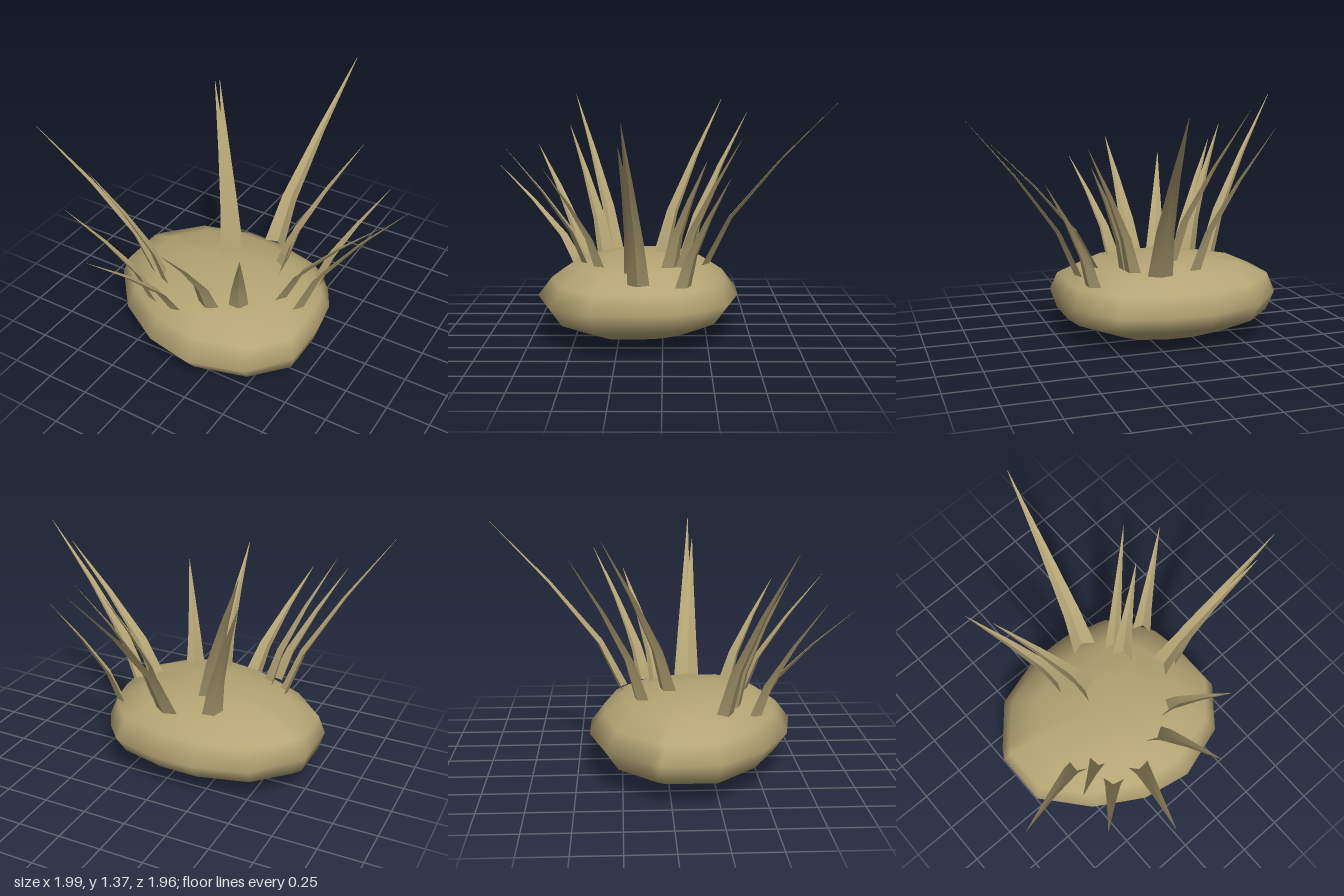
import * as THREE from 'three';

const straw = new THREE.MeshStandardMaterial({ color: 0xb5a575, side: THREE.DoubleSide });
straw.name = 'straw';

function makeGeometry(points, index) {
  const g = new THREE.BufferGeometry();
  g.setAttribute('position', new THREE.Float32BufferAttribute(points, 3));
  g.setIndex(index);
  g.computeVertexNormals();
  return g;
}

// Squashed pebble: the widest outline, scaled into stacked rings and capped by two poles
function moundGeometry() {
  const outline = [
    [-0.765, -0.06], [-0.73, -0.12], [-0.54, -0.34], [-0.24, -0.43], [0, -0.425],
    [0.27, -0.35], [0.38, -0.23], [0.46, -0.09], [0.49, 0.09], [0.49, 0.4],
    [0.31, 0.62], [0, 0.715], [-0.28, 0.66], [-0.55, 0.5], [-0.765, 0.25],
  ];
  const cx = -0.14, cz = 0.14, n = outline.length;
  // height, x scale, z scale
  const rings = [
    [0.045, 0.6, 0.57], [0.135, 0.95, 0.86], [0.24, 1, 1],
    [0.345, 0.94, 0.86], [0.42, 0.68, 0.66], [0.455, 0.33, 0.33],
  ];
  const points = [], index = [];
  for (const [y, sx, sz] of rings) {
    for (const [x, z] of outline) points.push(cx + (x - cx) * sx, y, cz + (z - cz) * sz);
  }
  points.push(-0.2, 0, 0.08, cx, 0.467, 0.1);
  const bottom = rings.length * n, top = bottom + 1, last = (rings.length - 1) * n;
  for (let i = 0; i < n; i++) {
    const j = (i + 1) % n;
    index.push(bottom, i, j, top, last + j, last + i);
    for (let r = 0; r < rings.length - 1; r++) {
      const a = r * n + i, b = r * n + j;
      index.push(a, a + n, b, b, a + n, b + n);
    }
  }
  return makeGeometry(points, index);
}

// Folded blade: two strips meeting at an outer keel, bending outward and tapering to a tip
function bladeGeometry(base, tip, width) {
  const out = new THREE.Vector3(tip[0] - base[0], 0, tip[2] - base[2]).normalize();
  const side = new THREE.Vector3(out.z, 0, -out.x);
  // horizontal fraction, height fraction, width fraction
  const sections = [[0, 0, 1], [0.18, 0.28, 0.72], [0.56, 0.64, 0.36], [1, 1, 0.02]];
  const points = [], index = [];
  for (const s of [-1, 1]) {
    const start = points.length / 3;
    sections.forEach(([h, v, w], k) => {
      const p = new THREE.Vector3(
        base[0] + (tip[0] - base[0]) * h,
        base[1] + (tip[1] - base[1]) * v,
        base[2] + (tip[2] - base[2]) * h,
      );
      const keel = p.clone().addScaledVector(out, 0.035 * w);
      const edge = p.clone().addScaledVector(side, s * width * 0.5 * w);
      points.push(...keel.toArray(), ...edge.toArray());
      if (k > 0) {
        const a = start + 2 * k - 2, b = a + 1, c = a + 2, d = a + 3;
        if (s > 0) index.push(a, b, c, b, d, c);
        else index.push(a, c, b, b, c, d);
      }
    });
  }
  return makeGeometry(points, index);
}

export function createModel() {
  const model = new THREE.Group();
  model.name = 'grassTuftOnStone';

  const mound = new THREE.Mesh(moundGeometry(), straw);
  mound.name = 'mound';
  model.add(mound);

  // Each blade: base point, tip point, base width
  const blades = [
    [[0.01, 0.43, -0.23], [0.135, 1.37, -0.98], 0.14],
    [[-0.23, 0.43, -0.14], [-0.53, 1.255, -0.51], 0.12],
    [[-0.14, 0.45, 0.01], [-0.46, 1.34, -0.35], 0.13],
    [[0.13, 0.435, -0.11], [0.46, 1.17, -0.41], 0.1],
    [[0.14, 0.435, -0.04], [0.4, 1.055, -0.235], 0.12],
    [[0.36, 0.37, -0.11], [0.67, 0.99, -0.34], 0.11],
    [[0.37, 0.38, 0.13], [0.99, 1.28, 0.19], 0.12],
    [[0.27, 0.42, 0.145], [0.87, 1.16, 0.21], 0.13],
    [[0.115, 0.435, 0.355], [0.3, 1.0, 0.64], 0.11],
    [[-0.03, 0.425, 0.43], [0, 1.08, 0.88], 0.125],
    [[-0.21, 0.39, 0.5], [-0.39, 0.95, 0.98], 0.12],
    [[-0.37, 0.38, 0.475], [-0.67, 1.05, 0.78], 0.12],
    [[-0.36, 0.41, 0.345], [-0.66, 1.17, 0.58], 0.12],
    [[-0.47, 0.4, 0.29], [-0.995, 1.35, 0.57], 0.11],
  ];
  const tuft = new THREE.Group();
  tuft.name = 'grassTuft';
  for (const [base, tip, width] of blades) {
    const blade = new THREE.Mesh(bladeGeometry(base, tip, width), straw);
    blade.name = 'grassBlade';
    tuft.add(blade);
  }
  model.add(tuft);
  return model;
}
